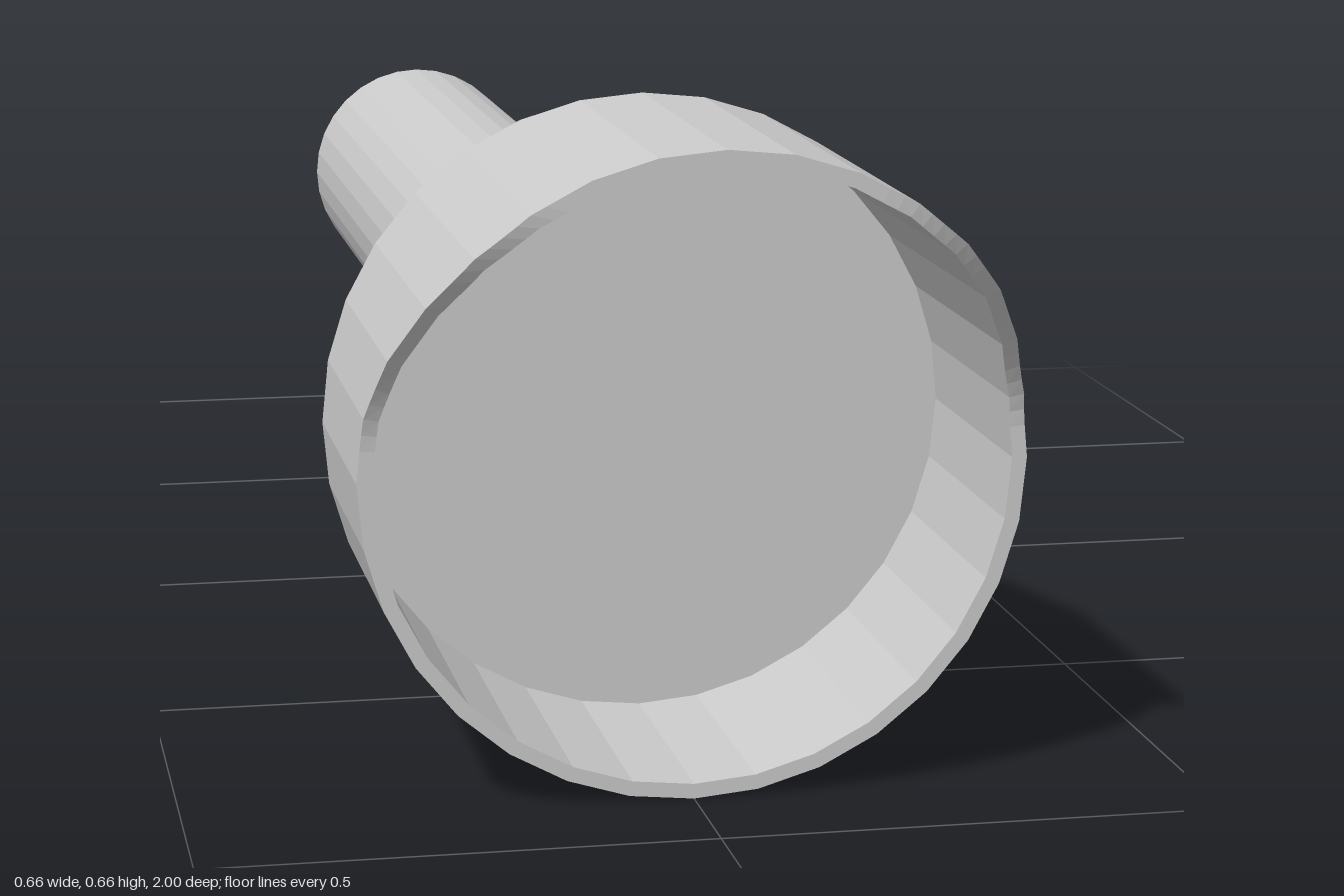
import * as THREE from 'three';

const SIDES = 32;
const AXIS_Y = 0.33;
const material = new THREE.MeshStandardMaterial({ color: 0xcccccc, flatShading: true });

function addMesh(group, name, geometry) {
  const mesh = new THREE.Mesh(geometry, material);
  mesh.name = name;
  group.add(mesh);
  return mesh;
}

// Turned part along z from [radius, z] pairs, raised to the body axis
function turned(profile, segments = SIDES) {
  const geo = new THREE.LatheGeometry(profile.map(([r, z]) => new THREE.Vector2(r, z)), segments);
  return geo.rotateX(Math.PI / 2).translate(0, AXIS_Y, 0);
}

// Front edge of the head: low at the sides, sweeping out to a visor on top
const rimZ = (y) => 0.88 + 0.12 * THREE.MathUtils.smoothstep(y, 0.36, 0.61);

// Finely divided cylinder pulled onto a 32-sided prism, with its rim cut to the visor curve
function headGeometry() {
  const geo = turned([[0.33, 0.61], [0.33, 1], [0.315, 1], [0.315, 0.61], [0, 0.61]], SIDES * 4);
  const pos = geo.attributes.position;
  const step = (2 * Math.PI) / SIDES;
  for (let i = 0; i < pos.count; i++) {
    const x = pos.getX(i);
    const y = pos.getY(i) - AXIS_Y;
    const a = Math.atan2(y, x) + 2 * Math.PI;
    const local = a - (Math.floor(a / step + 1e-6) + 0.5) * step;
    const k = Math.cos(step / 2) / Math.cos(local);
    const newY = y * k + AXIS_Y;
    pos.setXY(i, x * k, newY);
    if (pos.getZ(i) > 0.9) pos.setZ(i, rimZ(newY));
  }
  geo.computeVertexNormals();
  return geo;
}

export function createModel() {
  const model = new THREE.Group();
  model.name = 'flashlight';

  // Handle with a small round recess in its back end
  addMesh(model, 'handle', turned([
    [0, -0.97], [0.03, -0.97], [0.03, -1], [0.145, -1], [0.145, -0.18],
  ]));

  // Flared neck and hollow hooded head
  addMesh(model, 'neck', turned([[0.145, -0.18], [0.33, 0.61]]));
  addMesh(model, 'head', headGeometry());

  // Mounting foot: post, bevelled collar and base plate
  const foot = new THREE.Group();
  foot.name = 'mountingFoot';
  foot.position.z = -0.27;
  model.add(foot);

  addMesh(foot, 'post', new THREE.BoxGeometry(0.15, 0.165, 0.18)).position.y = 0.1675;
  addMesh(foot, 'basePlate', new THREE.BoxGeometry(0.19, 0.028, 0.22)).position.y = 0.051;

  const collar = new THREE.BoxGeometry(0.19, 0.02, 0.22);
  const pos = collar.attributes.position;
  for (let i = 0; i < pos.count; i++) {
    if (pos.getY(i) > 0) {
      pos.setX(i, Math.sign(pos.getX(i)) * 0.075);
      pos.setZ(i, Math.sign(pos.getZ(i)) * 0.09);
    }
  }
  collar.computeVertexNormals();
  addMesh(foot, 'collar', collar).position.y = 0.075;

  return model;
}
